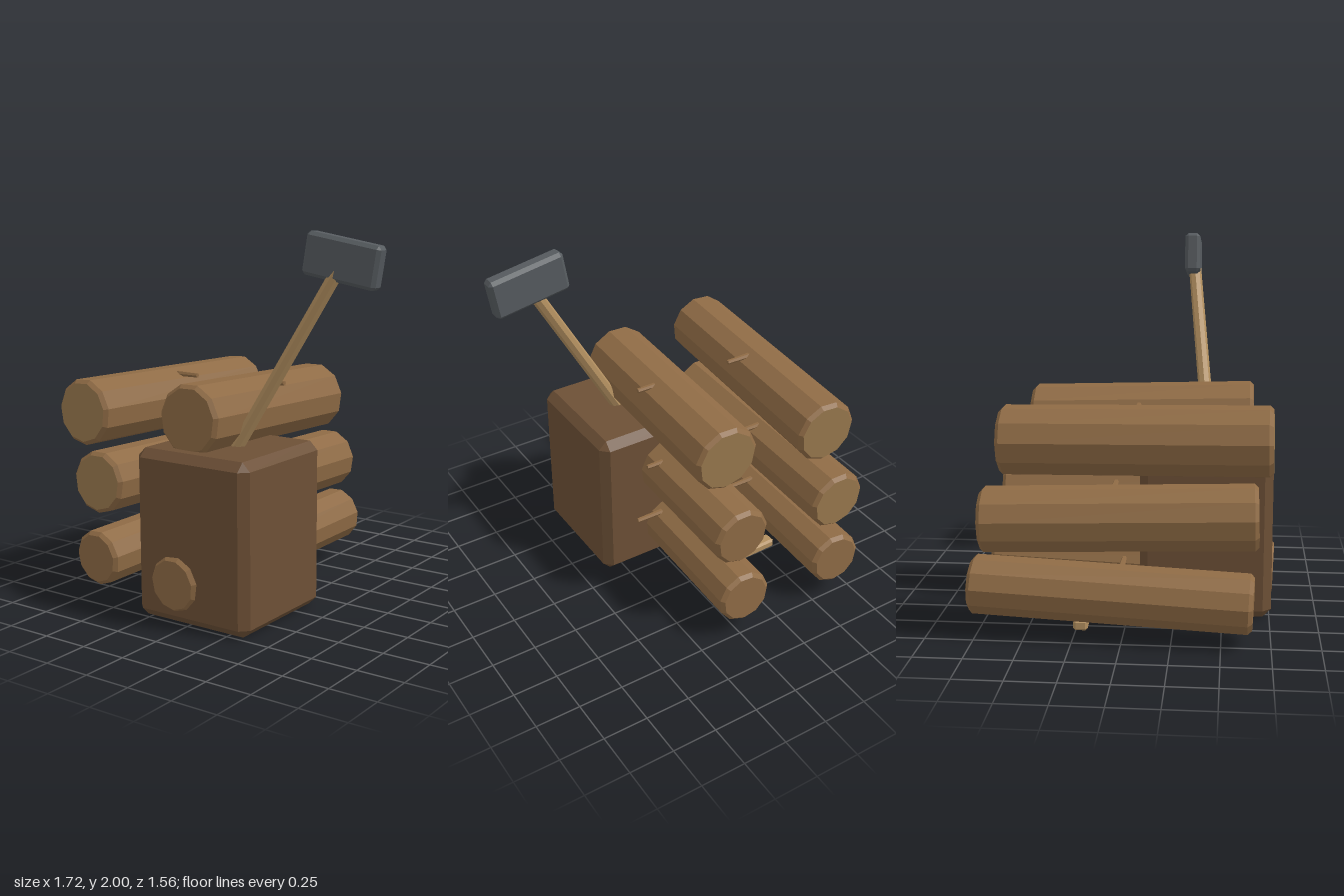
import * as THREE from 'three';
import { ConvexGeometry } from 'three/addons/geometries/ConvexGeometry.js';

const mat = (name, color) => {
  const m = new THREE.MeshStandardMaterial({ color });
  m.name = name;
  return m;
};

export function createModel() {
  const bark = mat('bark', 0x8f6b45);
  const cutWood = mat('cut wood', 0x9a794e);
  const stumpWood = mat('stump wood', 0x6d5036);
  const paleWood = mat('pale wood', 0xb39060);
  const iron = mat('iron', 0x565b5f);

  const model = new THREE.Group();
  model.name = 'woodpile';
  const UP = new THREE.Vector3(0, 1, 0);

  const add = (parent, name, geometry, material) => {
    const mesh = new THREE.Mesh(geometry, material);
    mesh.name = name;
    parent.add(mesh);
    return mesh;
  };

  // Faceted solid of revolution around y
  const faceted = (profile, sides) => {
    const g = new THREE.LatheGeometry(profile.map(([r, y]) => new THREE.Vector2(r, y)), sides).toNonIndexed();
    g.computeVertexNormals();
    return g;
  };

  // Box with every edge chamfered by c
  const chamferBox = (w, h, d, c) => {
    const points = [];
    for (const sx of [-1, 1]) for (const sy of [-1, 1]) for (const sz of [-1, 1]) {
      for (const [a, b, e] of [[0, c, c], [c, 0, c], [c, c, 0]]) {
        points.push(new THREE.Vector3(sx * (w / 2 - a), sy * (h / 2 - b), sz * (d / 2 - e)));
      }
    }
    return new ConvexGeometry(points);
  };

  // Places an object whose length runs along y between two points
  const span = (object, from, to) => {
    object.position.copy(from).add(to).multiplyScalar(0.5);
    object.quaternion.setFromUnitVectors(UP, to.clone().sub(from).normalize());
  };

  // Chopping block
  add(model, 'choppingBlock', chamferBox(0.7, 0.895, 0.7, 0.045), stumpWood).position.set(0.02, 0.45, 0.41);

  // Logs: back centre, front centre, radius, cap materials, twig [x tip, y, z]
  const logs = [
    { name: 'leftBottomLog', back: [-0.625, 0.26, -0.775], front: [-0.7, 0.215, 0.66], r: 0.153, caps: [bark, bark], twig: [-0.43, 0.355, -0.01] },
    { name: 'leftMiddleLog', back: [-0.66, 0.61, -0.71], front: [-0.66, 0.65, 0.68], r: 0.17, caps: [cutWood, cutWood], twig: [-0.435, 0.765, -0.05] },
    { name: 'leftTopLog', back: [-0.63, 1.015, -0.605], front: [-0.69, 1.04, 0.745], r: 0.178, caps: [cutWood, cutWood], twig: [-0.445, 1.17, 0.068] },
    { name: 'rightBottomLog', back: [-0.018, 0.26, -0.765], front: [-0.08, 0.213, 0.773], r: 0.152, caps: [bark, bark], twig: [0.19, 0.355, 0.008] },
    { name: 'rightMiddleLog', back: [-0.035, 0.615, -0.695], front: [-0.04, 0.65, 0.66], r: 0.167, caps: [bark, bark], twig: [0.155, 0.75, -0.045] },
    { name: 'rightTopLog', back: [-0.04, 1.015, -0.53], front: [-0.06, 1.05, 0.655], r: 0.188, caps: [cutWood, bark], twig: [0.14, 1.18, 0.07] },
  ];
  const SIDES = 11, BEVEL = 0.02;
  for (const { name, back, front, r, caps, twig } of logs) {
    const from = new THREE.Vector3(...back), to = new THREE.Vector3(...front);
    const h = from.distanceTo(to) / 2, rim = r - BEVEL;
    const log = new THREE.Group();
    log.name = name;
    add(log, 'logBark', faceted([[rim, -h], [r, -h + BEVEL], [r, h - BEVEL], [rim, h]], SIDES), bark);
    add(log, 'backCutFace', faceted([[0, -h], [rim, -h]], SIDES), caps[0]);
    add(log, 'frontCutFace', faceted([[rim, h], [0, h]], SIDES), caps[1]);
    span(log, from, to);
    model.add(log);

    // Twig stub sticking out sideways
    const [x, y, z] = twig;
    const stub = add(model, name + 'Twig', faceted([[0, -0.08], [0.016, -0.08], [0.013, 0.08], [0, 0.08]], 6), bark);
    span(stub, new THREE.Vector3(x - 0.16, y, z), new THREE.Vector3(x, y, z));
  }

  // Axe
  const axe = new THREE.Group();
  axe.name = 'axe';
  model.add(axe);
  const butt = new THREE.Vector3(0.07, 0.88, 0.415), tip = new THREE.Vector3(0.63, 1.85, 0.303);
  const half = butt.distanceTo(tip) / 2;
  const handle = add(axe, 'axeHandle',
    faceted([[0, -half], [0.037, -half], [0.035, half], [0, half]], 8), paleWood);
  span(handle, butt, tip);
  const head = add(axe, 'axeHead', chamferBox(0.42, 0.217, 0.085, 0.018), iron);
  head.position.set(0.634, 1.86, 0.3);
  head.rotation.z = -0.166;

  // Loose wood chip on the ground
  const chip = add(model, 'woodChip', chamferBox(0.29, 0.055, 0.075, 0.012), paleWood);
  chip.position.set(-0.445, 0.034, -0.228);
  chip.rotation.y = 0.03;

  return model;
}
